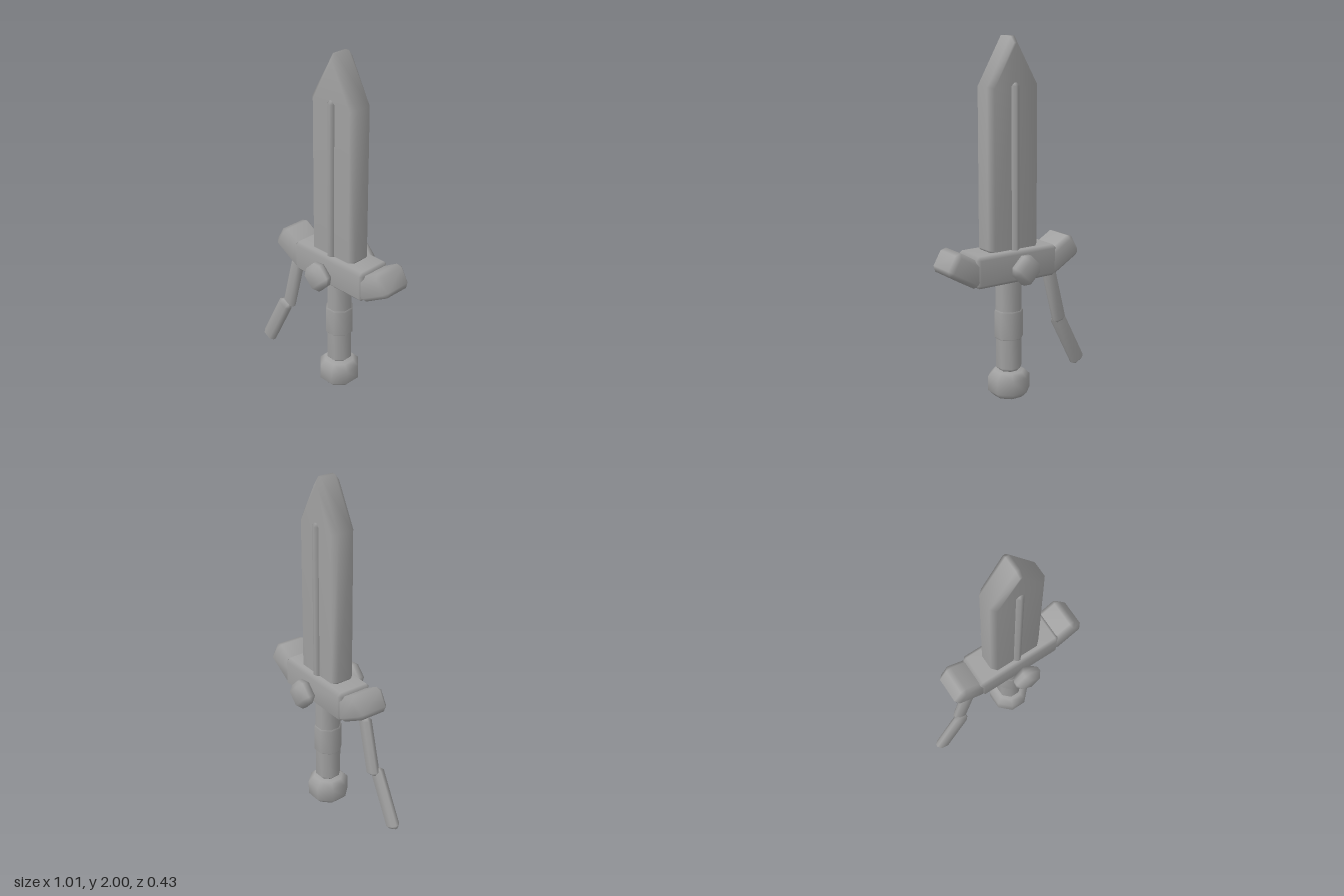
import * as THREE from 'three';
import { mergeVertices } from 'three/addons/utils/BufferGeometryUtils.js';
import { ConvexGeometry } from 'three/addons/geometries/ConvexGeometry.js';

const CENTER = 0.08; // x of the sword's long axis

// Weld corners so the bevelled forms shade smoothly
function smooth(geometry) {
  geometry.deleteAttribute('normal');
  if (geometry.attributes.uv) geometry.deleteAttribute('uv');
  const welded = mergeVertices(geometry, 1e-4);
  welded.computeVertexNormals();
  return welded;
}

// Box with every edge and corner cut by bevel b
function bevelBox(w, h, d, b) {
  const pts = [];
  for (const x of [-1, 1]) for (const y of [-1, 1]) for (const z of [-1, 1]) {
    for (let k = 0; k < 3; k++) {
      const inset = [b, b, b];
      inset[k] = 0;
      pts.push(new THREE.Vector3(x * (w / 2 - inset[0]), y * (h / 2 - inset[1]), z * (d / 2 - inset[2])));
    }
  }
  return smooth(new ConvexGeometry(pts));
}

// Convex slab: full outline in the middle, inset outline on both faces
function bevelSlab(outer, inner, depth, bevel) {
  const pts = [];
  for (const s of [-1, 1]) {
    outer.forEach(([x, y]) => pts.push(new THREE.Vector3(x, y, s * (depth / 2 - bevel))));
    inner.forEach(([x, y]) => pts.push(new THREE.Vector3(x, y, s * depth / 2)));
  }
  return smooth(new ConvexGeometry(pts));
}

// Eight-sided bevelled post, flat sides facing the axes
function octPost(halfWidth, y0, y1, b) {
  const r = halfWidth / Math.cos(Math.PI / 8);
  const profile = [[0, y0], [r - b, y0], [r, y0 + b], [r, y1 - b], [r - b, y1], [0, y1]];
  return smooth(new THREE.LatheGeometry(profile.map(([x, y]) => new THREE.Vector2(x, y)), 8, Math.PI / 8));
}

export function createModel() {
  const group = new THREE.Group();
  const grey = new THREE.MeshStandardMaterial({ color: 0xa0a0a0 });
  grey.name = 'grey';

  const add = (name, geometry, x = 0, y = 0, z = 0, rotZ = 0) => {
    const mesh = new THREE.Mesh(geometry, grey);
    mesh.name = name;
    mesh.position.set(x, y, z);
    mesh.rotation.z = rotZ;
    group.add(mesh);
    return mesh;
  };

  // Blade with pointed tip and a raised central ridge
  const outer = [[-0.15, 0.855], [0.15, 0.855], [0.161, 0.87], [0.161, 1.74], [0.012, 2], [-0.012, 2], [-0.161, 1.74], [-0.161, 0.87]];
  const inner = [[-0.132, 0.86], [0.132, 0.86], [0.132, 1.732], [0.008, 1.965], [-0.008, 1.965], [-0.132, 1.732]];
  add('blade', bevelSlab(outer, inner, 0.144, 0.028), CENTER - 0.003);
  add('bladeRidge', bevelBox(0.052, 0.92, 0.18, 0.019), CENTER - 0.003, 1.3, 0);

  // Cross guard with upturned ends
  add('guard', bevelBox(0.524, 0.177, 0.214, 0.02), CENTER, 0.768, 0);
  for (const side of [-1, 1]) {
    add(side < 0 ? 'guardEndRight' : 'guardEndLeft', bevelBox(0.22, 0.14, 0.2, 0.025),
      CENTER + side * 0.309, 0.787, 0, side * Math.PI / 6);
  }

  // Diamond studs in front of and behind the guard
  for (const side of [-1, 1]) {
    add(side > 0 ? 'frontStud' : 'backStud', bevelBox(0.146, 0.146, 0.09, 0.032),
      CENTER - 0.002, 0.765, side * 0.172, Math.PI / 4);
  }

  // Grip, band and pommel
  add('grip', octPost(0.068, 0.15, 0.69, 0.02), CENTER - 0.006);
  add('gripBand', octPost(0.075, 0.33, 0.51, 0.015), CENTER - 0.006);
  add('pommel', octPost(0.11, 0, 0.147, 0.033), CENTER - 0.006);

  // Two-piece strap hanging beside the grip
  const strap = (name, x0, y0, x1, y1, width, z) => {
    const dx = x1 - x0, dy = y1 - y0;
    add(name, bevelBox(width, Math.hypot(dx, dy), 0.056, 0.02),
      (x0 + x1) / 2, (y0 + y1) / 2, z, Math.atan2(-dx, dy));
  };
  strap('strapUpper', -0.309, 0.35, -0.222, 0.69, 0.083, 0.036);
  strap('strapLower', -0.47, 0.062, -0.303, 0.385, 0.09, 0.061);

  return group;
}
